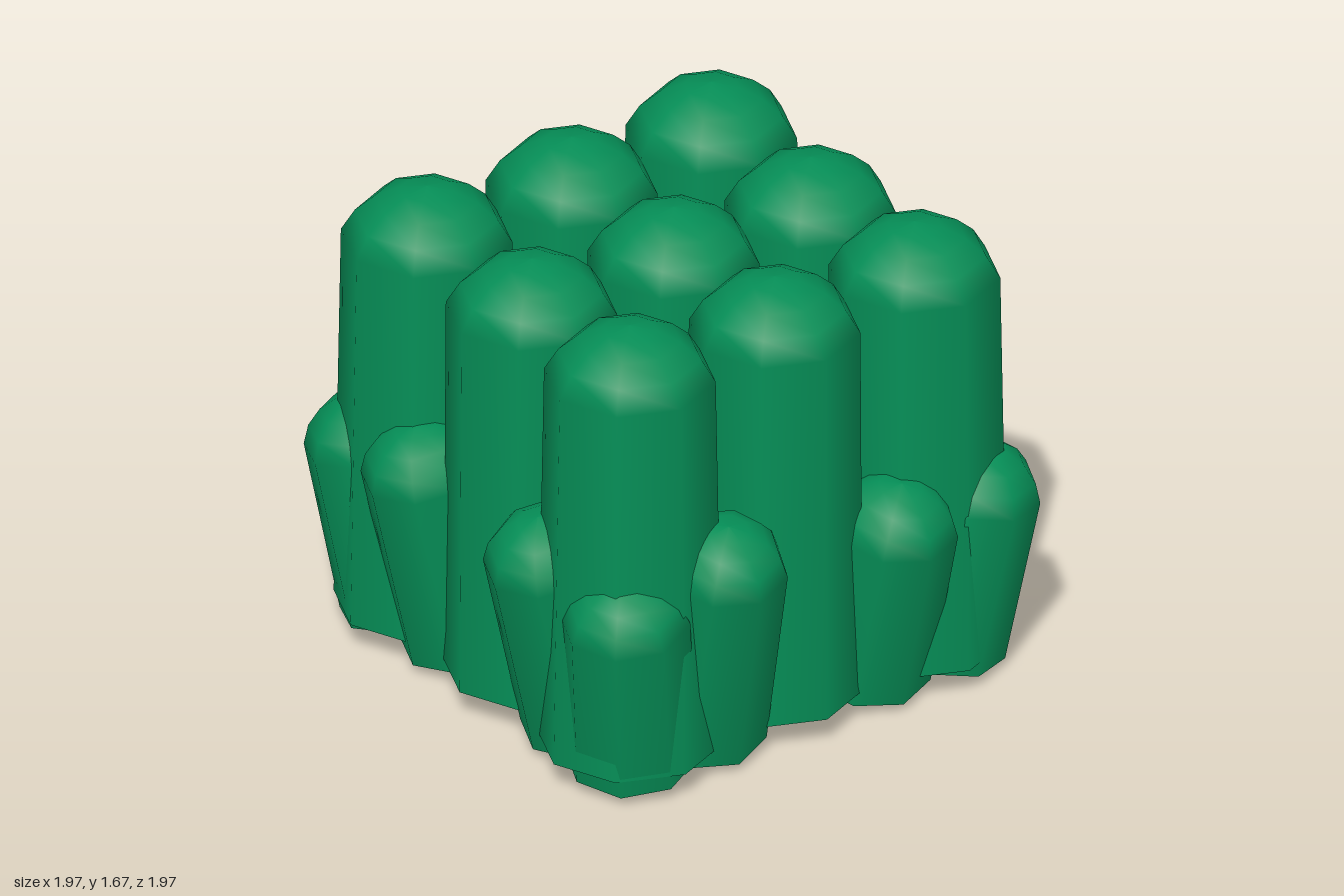
import * as THREE from 'three';

const green = new THREE.MeshStandardMaterial({ color: 0x058d56, side: THREE.DoubleSide });
green.name = 'green';

// Eight-sided column with a spherical cap, open at the bottom
function column(name, rBase, rTop, height, dome) {
  const shoulder = height - dome;
  const radius = (rTop * rTop + dome * dome) / (2 * dome);
  const sweep = Math.asin(Math.min(1, rTop / radius));
  const points = [new THREE.Vector2(rBase, 0)];
  for (let i = 4; i >= 0; i--) {
    const a = sweep * i / 4;
    points.push(new THREE.Vector2(radius * Math.sin(a), shoulder + dome - radius * (1 - Math.cos(a))));
  }
  const mesh = new THREE.Mesh(new THREE.LatheGeometry(points, 8), green);
  mesh.name = name;
  return mesh;
}

// A few ragged triangular flaps folded inwards under a stem
function rootFlaps(r) {
  const pos = [];
  const rim = (a) => [r * Math.sin(a), 0, r * Math.cos(a)];
  for (let i = 0; i < 8; i += 2) {
    const a = i * Math.PI / 4, b = a + Math.PI / 4, m = (a + b) / 2;
    pos.push(...rim(a), ...rim(b), r * 0.4 * Math.sin(m), -0.06, r * 0.4 * Math.cos(m));
  }
  const geo = new THREE.BufferGeometry();
  geo.setAttribute('position', new THREE.Float32BufferAttribute(pos, 3));
  geo.computeVertexNormals();
  const mesh = new THREE.Mesh(geo, green);
  mesh.name = 'rootFlaps';
  return mesh;
}

// Short stem leaning from its base point to its top point
function stem(name, base, top) {
  const from = new THREE.Vector3(...base);
  const axis = new THREE.Vector3(...top).sub(from);
  const group = new THREE.Group();
  group.name = name;
  group.add(column('stemShell', 0.222, 0.217, axis.length(), 0.17), rootFlaps(0.222));
  group.position.copy(from);
  group.quaternion.setFromUnitVectors(new THREE.Vector3(0, 1, 0), axis.normalize());
  return group;
}

export function createModel() {
  const model = new THREE.Group();
  model.name = 'columnCluster';

  // Three by three block of tall columns, the corner ones a little wider at the base
  const xs = [-0.59, 0, 0.57], zs = [-0.575, -0.005, 0.56];
  xs.forEach((x, i) => zs.forEach((z, j) => {
    const corner = i !== 1 && j !== 1;
    const c = column('tallColumn', corner ? 0.31 : 0.293, 0.286, corner ? 1.565 : 1.55, 0.19);
    c.position.set(corner ? x : x * 0.98, 0.11, z);
    model.add(c);
  }));

  // Stems along the four sides: x, z and height of the top
  const sides = [
    [-0.37, 0.81, 0.95], [0.35, 0.79, 0.86],
    [-0.37, -0.80, 0.93], [0.37, -0.82, 0.94],
    [0.81, 0.37, 0.95], [0.81, -0.38, 0.94],
    [-0.82, 0.36, 0.93], [-0.79, -0.37, 0.93],
  ];
  const inset = (v) => Math.sign(v) * (Math.abs(v) > 0.6 ? 0.605 : 0.335);
  for (const [x, z, h] of sides) {
    model.add(stem('sideStem', [inset(x), 0.09, inset(z)], [x, h, z]));
  }

  // Stems at the four corners
  const corners = [
    [-0.74, 0.73, 0.835], [0.74, 0.73, 0.85],
    [-0.745, -0.75, 0.86], [0.74, -0.75, 0.90],
  ];
  for (const [x, z, h] of corners) {
    model.add(stem('cornerStem', [x * 0.85, 0.085, z * 0.85], [x, h, z]));
  }
  return model;
}
